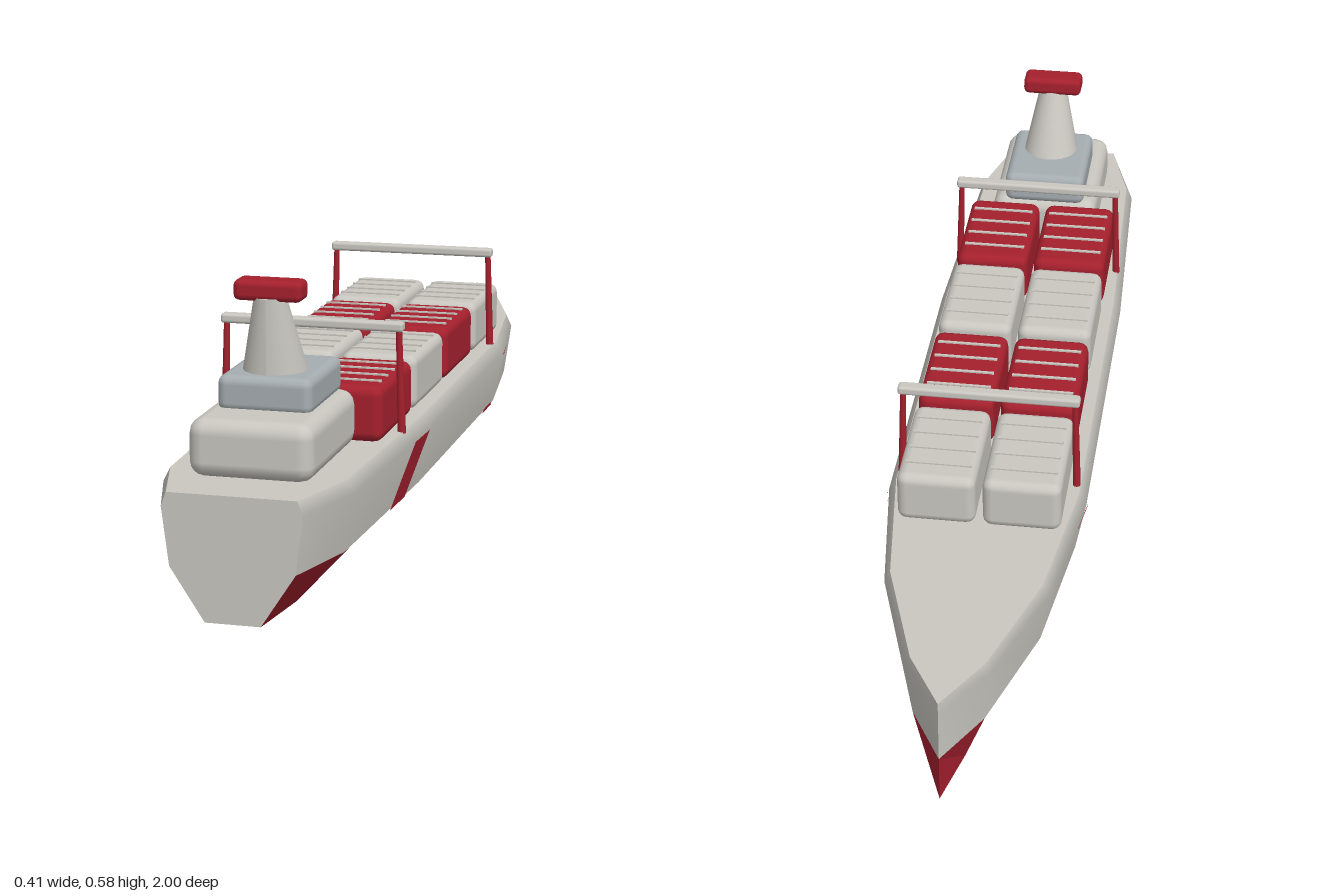
import * as THREE from 'three';
import { RoundedBoxGeometry } from 'three/addons/geometries/RoundedBoxGeometry.js';

// Hull stations [z, width scale], stern to bow, and half section [x, y], keel to deck
const STATIONS = [[1, 0.65], [0.84, 0.9], [0.35, 1], [-0.35, 1], [-0.64, 0.8], [-0.88, 0.38], [-1, 0]];
const SECTION = [[0.08, 0], [0.18, 0.1], [0.201, 0.21], [0.186, 0.236]];
const DECK = 0.236;

// Half width of the hull at a given z and height
function hullX(z, y) {
  const i = Math.max(0, STATIONS.findIndex((s, k) => k < STATIONS.length - 1 && z <= s[0] && z >= STATIONS[k + 1][0]));
  const [z0, s0] = STATIONS[i], [z1, s1] = STATIONS[i + 1];
  const scale = s0 + (s1 - s0) * (z - z0) / (z1 - z0);
  const j = Math.max(0, SECTION.findIndex((p, k) => k < 3 && y >= p[1] && y <= SECTION[k + 1][1]));
  const [x0, y0] = SECTION[j], [x1, y1] = SECTION[j + 1];
  return scale * (x0 + (x1 - x0) * (y - y0) / (y1 - y0));
}

// Skin a run of section points along all stations
function skin(profile, smooth) {
  const pos = [], index = [], n = profile.length;
  for (const [z, s] of STATIONS) for (const [x, y] of profile) pos.push(x * s, y, z);
  for (let i = 0; i < STATIONS.length - 1; i++) {
    for (let j = 0; j < n - 1; j++) {
      const a = i * n + j, b = a + n;
      index.push(a, b, a + 1, b, b + 1, a + 1);
    }
  }
  let g = new THREE.BufferGeometry();
  g.setAttribute('position', new THREE.Float32BufferAttribute(pos, 3));
  g.setIndex(index);
  if (!smooth) g = g.toNonIndexed();
  g.computeVertexNormals();
  return g;
}

// Thin painted patch on the hull side, slanted between a lower and an upper edge
function patch(side, yLow, yHigh, low, high) {
  const pt = (z, y) => [side * (hullX(z, y) + 0.003), y, z];
  const pos = [];
  const steps = 4;
  for (let i = 0; i < steps; i++) {
    const at = (u, k) => {
      const t = u / steps;
      return pt(low[k] + (high[k] - low[k]) * t, yLow + (yHigh - yLow) * t);
    };
    const a = at(i, 0), b = at(i, 1), c = at(i + 1, 1), d = at(i + 1, 0);
    pos.push(...(side > 0 ? [a, b, c, a, c, d] : [a, c, b, a, d, c]).flat());
  }
  const g = new THREE.BufferGeometry();
  g.setAttribute('position', new THREE.Float32BufferAttribute(pos, 3));
  g.computeVertexNormals();
  return g;
}

export function createModel() {
  const model = new THREE.Group();
  model.name = 'containerShip';
  const mat = (name, color) => Object.assign(new THREE.MeshStandardMaterial({ color }), { name });
  const pale = mat('paleGrey', 0xc9c7c0);
  const red = mat('red', 0xa5202d);
  const steel = mat('steelGrey', 0xa6adb1);

  const add = (name, geometry, material, x = 0, y = 0, z = 0, parent = model) => {
    const m = new THREE.Mesh(geometry, material);
    m.name = name;
    m.position.set(x, y, z);
    parent.add(m);
    return m;
  };
  const block = (name, material, w, y0, y1, z0, z1, r, x = 0, parent = model) =>
    add(name, new RoundedBoxGeometry(w, y1 - y0, z1 - z0, 2, r), material, x, (y0 + y1) / 2, (z0 + z1) / 2, parent);

  // Hull: red lower band, pale topsides, deck, bottom and transom
  const left = SECTION;
  const right = SECTION.map(([x, y]) => [-x, y]).reverse();
  add('lowerHullLeft', skin(left.slice(0, 2)), red);
  add('lowerHullRight', skin(right.slice(2)), red);
  add('topsideLeft', skin(left.slice(1), true), pale);
  add('topsideRight', skin(right.slice(0, 3), true), pale);
  add('deck', skin([left[3], right[0]]), pale);
  add('bottom', skin([right[3], left[0]]), pale);
  const s = STATIONS[0][1];
  const outline = [...left, ...right].map(([x, y]) => new THREE.Vector2(x * s, y));
  add('transom', new THREE.ShapeGeometry(new THREE.Shape(outline)), pale, 0, 0, 1);

  // Painted marks on both sides
  for (const side of [1, -1]) {
    add('hullStripe', patch(side, 0.1, 0.21, [0.56, 0.46], [0.455, 0.355]), red);
    add('bowMarkUpper', patch(side, 0.205, 0.21, [-0.36, -0.425], [-0.345, -0.43]), red);
    add('bowMarkLower', patch(side, 0.1, 0.108, [-0.225, -0.315], [-0.235, -0.305]), red);
  }

  // Containers: four rows of two, with ribs across the lids
  const ribShape = new THREE.BoxGeometry(0.132, 0.004, 0.006);
  [-0.355, -0.085, 0.185, 0.455].forEach((z, row) => {
    for (const side of [1, -1]) {
      const stack = new THREE.Group();
      stack.name = 'container';
      model.add(stack);
      const x = side * 0.085;
      block('containerBody', row % 2 ? red : pale, 0.157, DECK - 0.002, 0.344, z - 0.125, z + 0.125, 0.02, x, stack);
      for (let k = 0; k < 4; k++) add('lidRib', ribShape, pale, x, 0.345, z - 0.075 + k * 0.05, stack);
    }
  });

  // Deckhouse and bridge
  block('deckhouse', pale, 0.236, DECK - 0.002, 0.344, 0.58, 0.9, 0.03);
  block('bridge', steel, 0.18, 0.335, 0.405, 0.585, 0.805, 0.018);

  // Funnel: cone sheared so that its aft side stands upright
  const funnel = new THREE.CylinderGeometry(0.03, 0.061, 0.145, 24);
  const p = funnel.attributes.position;
  for (let i = 0; i < p.count; i++) p.setZ(i, p.getZ(i) + (p.getY(i) / 0.145 + 0.5) * 0.031);
  funnel.computeVertexNormals();
  add('funnel', funnel, pale, 0, 0.4725, 0.724);
  block('funnelCap', red, 0.13, 0.539, 0.578, 0.724, 0.78, 0.012);

  // Gantries: tapered leaning legs under a cross beam
  for (const z of [0.48, -0.32]) {
    const gantry = new THREE.Group();
    gantry.name = 'gantry';
    gantry.position.z = z;
    model.add(gantry);
    for (const side of [1, -1]) {
      const leg = add('gantryLeg', new THREE.CylinderGeometry(0.006, 0.008, 0.205, 10), red, side * 0.175, 0.335, 0, gantry);
      leg.rotation.z = side * 0.03;
    }
    block('gantryBeam', pale, 0.364, 0.432, 0.451, -0.0125, 0.0125, 0.006, 0, gantry);
  }
  return model;
}
